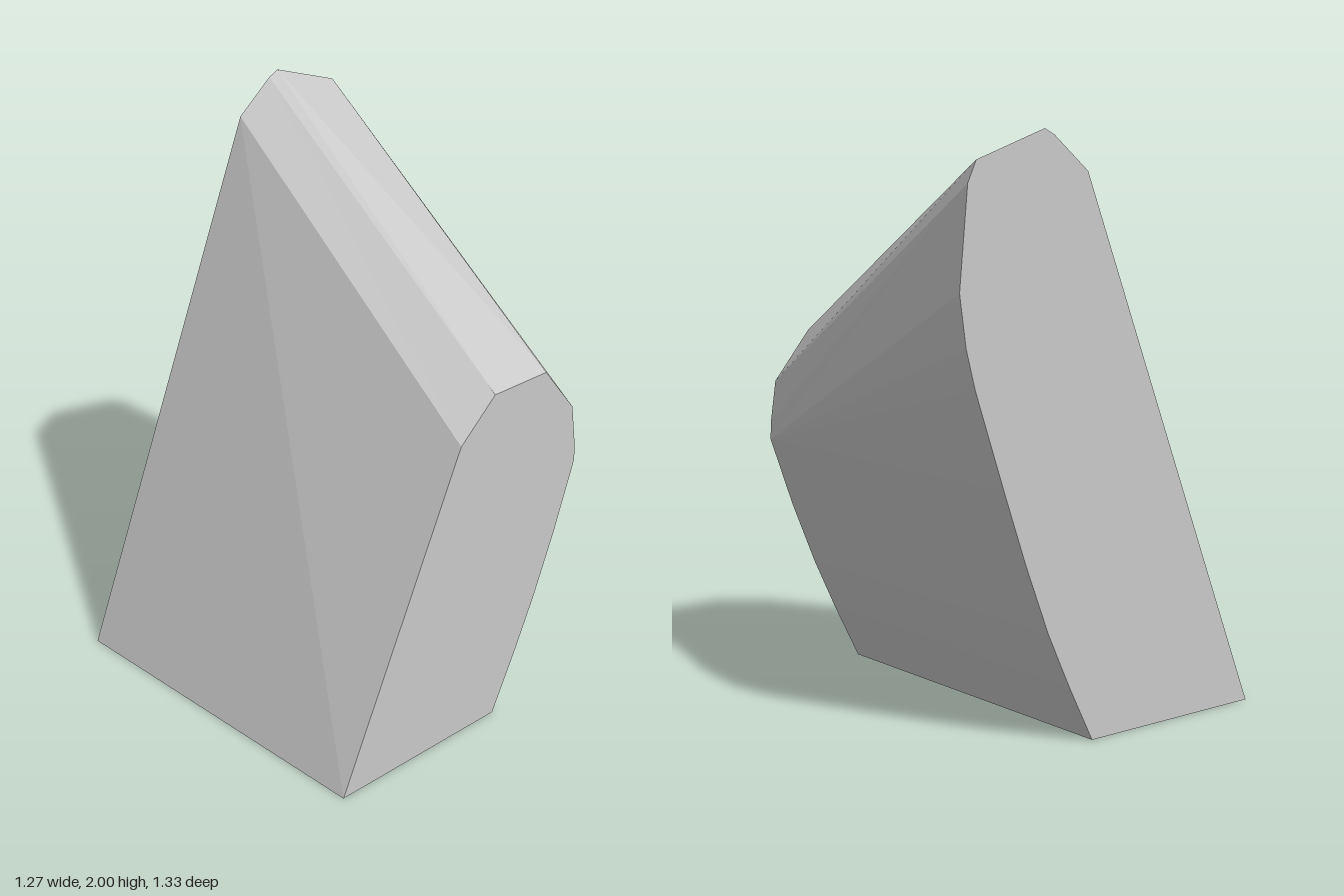
import * as THREE from 'three';

// Paired outline points, counter-clockwise: [front x, front y, back x, back y].
// A repeated point on one end makes a fan of facets.
const RIBS = [
  [-0.64, 0, -0.64, 0],
  [0.083, 0, 0.083, 0],
  [0.185, 0.2, 0.185, 0.2],
  [0.275, 0.39, 0.275, 0.39],
  [0.37, 0.62, 0.37, 0.63],
  [0.46, 0.87, 0.46, 0.88],
  [0.46, 0.87, 0.575, 1.21],
  [0.46, 0.87, 0.61, 1.34],
  [0.46, 0.87, 0.635, 1.51],
  [0.46, 0.87, 0.603, 1.84],
  [0.456, 0.94, 0.603, 1.84],
  [0.435, 1.08, 0.603, 1.84],
  [0.435, 1.08, 0.57, 1.91],
  [0.29, 1.255, 0.57, 1.91],
  [0.29, 1.255, 0.3, 2],
  [0.04, 1.255, 0.3, 2],
  [0.04, 1.255, 0.26, 1.98],
  [-0.115, 1.12, 0.12, 1.865],
];
const HALF_DEPTH = 0.665;

function loftGeometry() {
  const front = RIBS.map(([x, y]) => new THREE.Vector3(x, y, HALF_DEPTH));
  const back = RIBS.map(([, , x, y]) => new THREE.Vector3(x, y, -HALF_DEPTH));
  const points = [];
  const triangle = (a, b, c) => {
    if (a.equals(b) || b.equals(c) || a.equals(c)) return;
    points.push(a, b, c);
  };
  const n = RIBS.length;
  for (let i = 0; i < n; i++) {
    const j = (i + 1) % n;
    // side facets
    triangle(front[i], back[i], front[j]);
    triangle(front[j], back[i], back[j]);
    // convex end caps
    if (i > 0 && j > 0) {
      triangle(front[0], front[i], front[j]);
      triangle(back[0], back[j], back[i]);
    }
  }
  const geometry = new THREE.BufferGeometry().setFromPoints(points);
  geometry.computeVertexNormals();
  return geometry;
}

export function createModel() {
  const group = new THREE.Group();
  group.name = 'leaningBlock';
  const grey = new THREE.MeshStandardMaterial({ color: 0xc8c8c8 });
  grey.name = 'light grey';
  // slanted block with a rounded, rising top
  const body = new THREE.Mesh(loftGeometry(), grey);
  body.name = 'body';
  group.add(body);
  return group;
}
